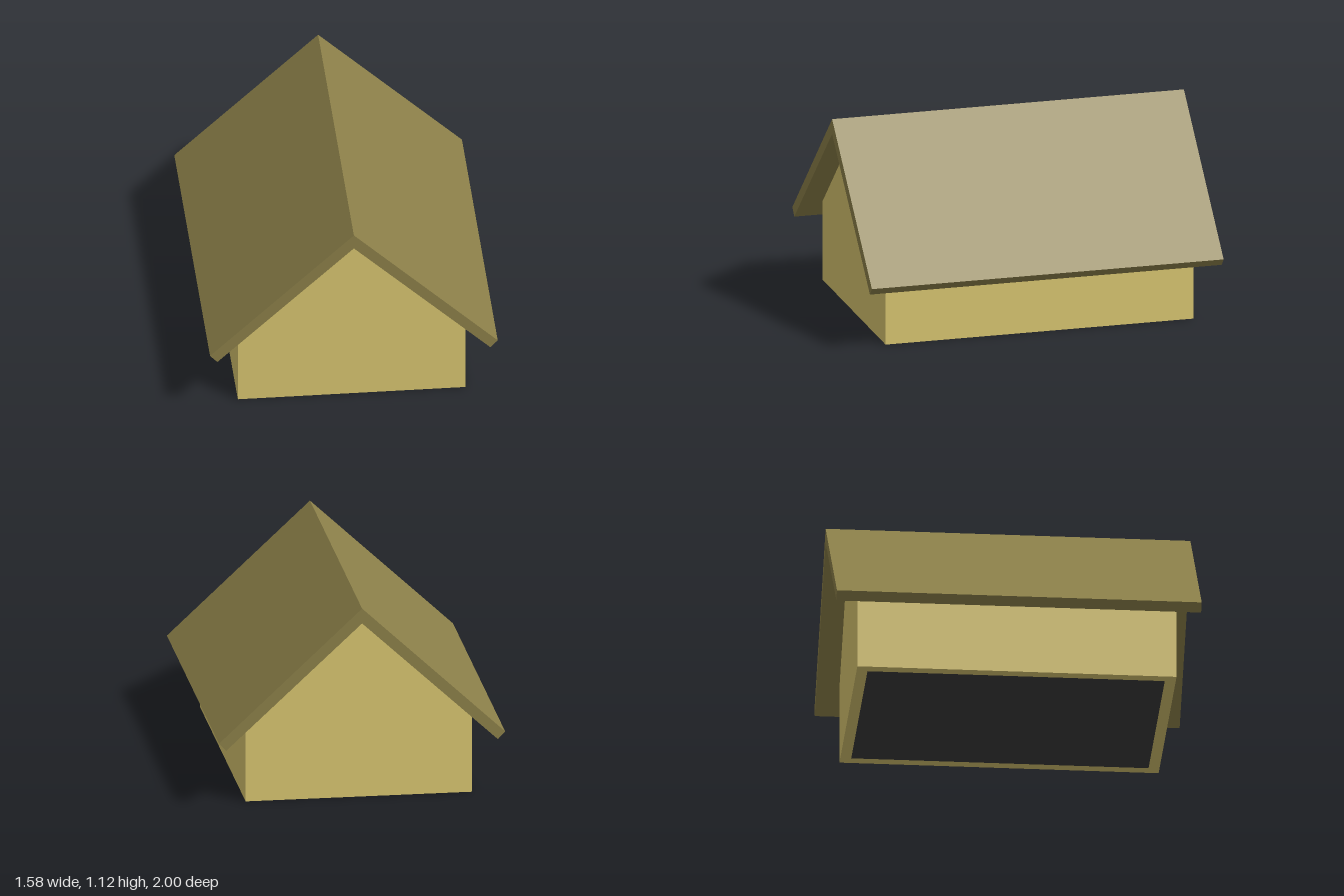
import * as THREE from 'three';

const WALL = 0xd9c670, ROOF = 0x8c8049, FLOOR = 0x3c3c3c;
const HALF_W = 0.625, HALF_D = 0.875, EAVE = 0.45, PEAK = 1.03, T = 0.06;

function part(name, color, geometry) {
  const material = new THREE.MeshStandardMaterial({ color, flatShading: true });
  const mesh = new THREE.Mesh(geometry, material);
  mesh.name = name;
  return mesh;
}

// Extrudes an x-y outline along z, from z0 to z1
function prism(points, z0, z1) {
  const shape = new THREE.Shape(points.map(([x, y]) => new THREE.Vector2(x, y)));
  const geometry = new THREE.ExtrudeGeometry(shape, { depth: z1 - z0, bevelEnabled: false });
  return geometry.translate(0, 0, z0);
}

export function createModel() {
  const house = new THREE.Group();
  house.name = 'house';

  // Gable end walls
  const gable = [[-HALF_W, 0], [HALF_W, 0], [HALF_W, EAVE], [0, PEAK], [-HALF_W, EAVE]];
  house.add(part('frontWall', WALL, prism(gable, HALF_D - T, HALF_D)));
  house.add(part('backWall', WALL, prism(gable, -HALF_D, T - HALF_D)));

  // Side walls and roof slopes, mirrored about x = 0
  const inner = HALF_W - T;
  const slopeAt = (x) => PEAK - (PEAK - EAVE) * x / HALF_W;
  const side = [[inner, 0], [HALF_W, 0], [HALF_W, EAVE], [inner, slopeAt(inner)]];
  const slope = [[0, PEAK], [0.75, 0.334], [0.79, 0.377], [0, 1.115]];
  for (const [name, s] of [['left', 1], ['right', -1]]) {
    const mirror = (points) => points.map(([x, y]) => [s * x, y]);
    house.add(part(name + 'Wall', WALL, prism(mirror(side), T - HALF_D, HALF_D - T)));
    house.add(part(name + 'Roof', ROOF, prism(mirror(slope), -1, 1)));
  }

  // Floor slab set between the walls
  const floor = part('floor', FLOOR, new THREE.BoxGeometry(2 * inner, 0.04, 2 * (HALF_D - T)));
  floor.position.y = 0.02;
  house.add(floor);

  return house;
}
